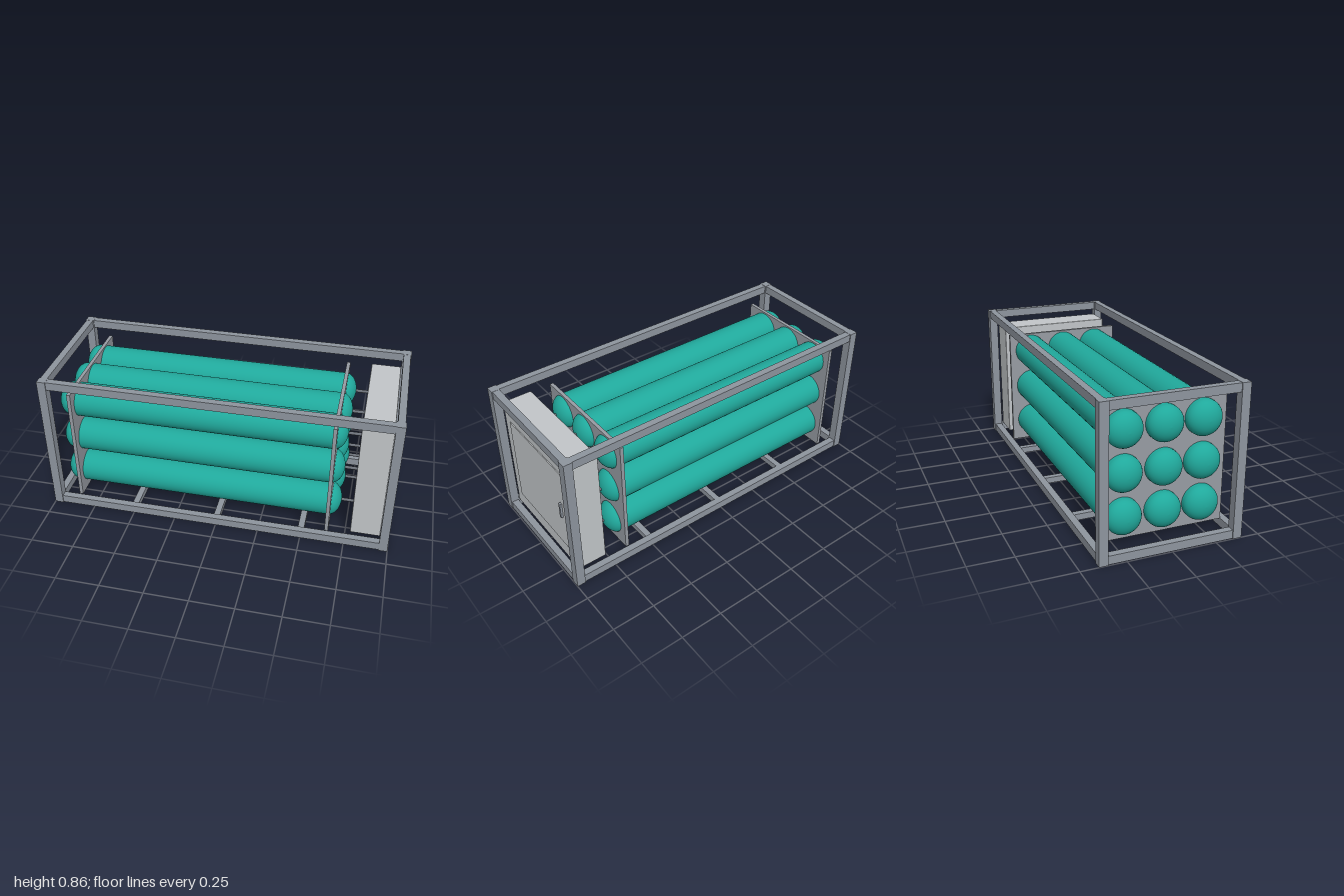
import * as THREE from 'three';
import { RoundedBoxGeometry } from 'three/addons/geometries/RoundedBoxGeometry.js';

const material = (name, color) => {
  const m = new THREE.MeshStandardMaterial({ color });
  m.name = name;
  return m;
};

export function createModel() {
  const model = new THREE.Group();
  model.name = 'cylinderRack';
  const steel = material('frameGrey', 0x8e959e);
  const plate = material('plateGrey', 0x979ca3);
  const paint = material('cabinetGrey', 0xc2c6c9);
  const teal = material('tankTeal', 0x20a99c);
  const dark = material('pipeGrey', 0x6b7078);

  const add = (name, geometry, mat, x, y, z) => {
    const mesh = new THREE.Mesh(geometry, mat);
    mesh.name = name;
    mesh.position.set(x, y, z);
    model.add(mesh);
    return mesh;
  };
  const box = (name, mat, w, h, d, x, y, z) =>
    add(name, new THREE.BoxGeometry(w, h, d), mat, x, y, z);

  // Frame: corner posts, with slightly narrower rails between them
  const H = 0.855;
  for (const s of [-1, 1]) {
    for (const t of [-1, 1]) box('cornerPost', steel, 0.05, H, 0.05, s * 0.975, H / 2, t * 0.375);
    for (const y of [0.025, H - 0.025]) {
      box('longRail', steel, 1.9, 0.048, 0.04, 0, y, s * 0.375);
      box('endRail', steel, 0.04, 0.048, 0.7, s * 0.975, y, 0);
    }
  }
  for (const x of [-0.5, 0, 0.5]) box('floorBeam', steel, 0.036, 0.036, 0.71, x, 0.025, 0);

  // Upright plates that carry the tanks
  for (const x of [-0.845, 0.645]) box('supportPlate', plate, 0.021, 0.71, 0.708, x, 0.405, 0);

  // Tanks: straight shell with shallow domed ends, and an outlet pipe
  const R = 0.098, dome = 0.07, x0 = -0.945, x1 = 0.71;
  const profile = [];
  const N = 10;
  for (let i = 0; i <= N; i++) {
    const a = (i / N) * Math.PI / 2;
    profile.push(new THREE.Vector2(R * Math.sin(a), x0 + dome - dome * Math.cos(a)));
  }
  for (let i = N; i >= 0; i--) {
    const a = (i / N) * Math.PI / 2;
    profile.push(new THREE.Vector2(R * Math.sin(a), x1 - dome + dome * Math.cos(a)));
  }
  const tank = new THREE.LatheGeometry(profile, 40).rotateZ(-Math.PI / 2);
  const pipe = new THREE.CylinderGeometry(0.009, 0.009, 0.09, 16).rotateZ(Math.PI / 2);
  for (const y of [0.183, 0.418, 0.653]) {
    for (const z of [-0.22, 0, 0.216]) {
      add('tank', tank, teal, 0, y, z);
      add('outletPipe', pipe, dark, 0.745, y, z);
    }
  }

  // Control cabinet with thin door panel and handle
  add('cabinet', new RoundedBoxGeometry(0.17, 0.72, 0.686, 2, 0.005), paint, 0.865, 0.415, 0);
  box('cabinetDoor', paint, 0.008, 0.527, 0.56, 0.951, 0.4135, 0);
  box('doorHandle', steel, 0.014, 0.098, 0.015, 0.96, 0.414, -0.2295);

  return model;
}
